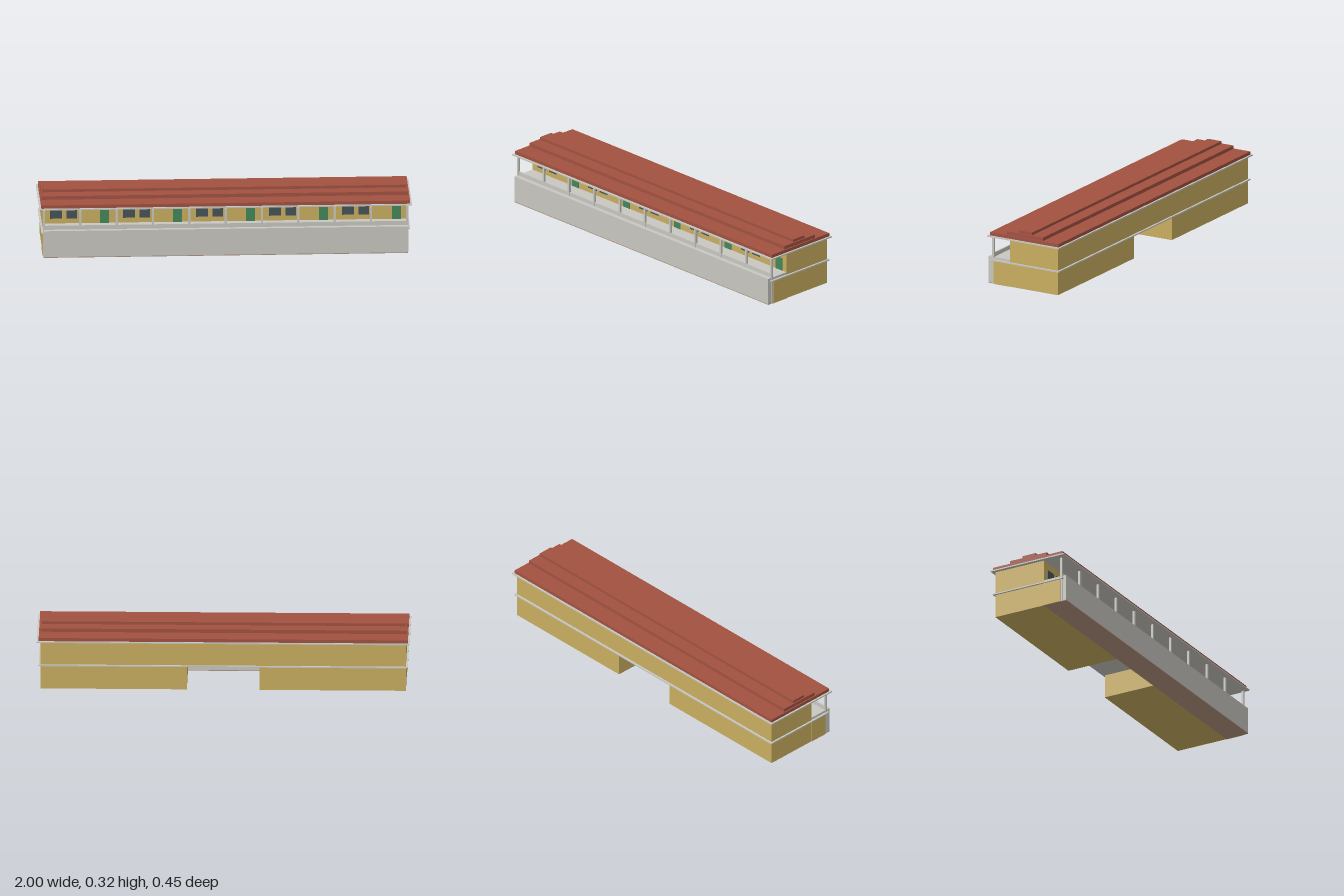
import * as THREE from 'three';

export function createModel() {
  const root = new THREE.Group();
  root.name = 'longVerandaBuilding';
  const mat = (name, color) => {
    const m = new THREE.MeshStandardMaterial({ color });
    m.name = name;
    return m;
  };
  const ochre = mat('ochre wall', 0xc9ae60);
  const grey = mat('pale concrete', 0xc8c7c1);
  const red = mat('red roof', 0xa15140);
  const green = mat('green door', 0x43875a);
  const glass = mat('dark window', 0x46535a);
  const brown = mat('brown footing', 0xb29380);

  // Box given by its limits on each axis
  const box = (name, material, x0, x1, y0, y1, z0, z1, parent = root) => {
    const mesh = new THREE.Mesh(new THREE.BoxGeometry(x1 - x0, y1 - y0, z1 - z0), material);
    mesh.position.set((x0 + x1) / 2, (y0 + y1) / 2, (z0 + z1) / 2);
    mesh.name = name;
    parent.add(mesh);
    return mesh;
  };

  const backZ = -0.207, wallZ = 0.093, half = 0.98;

  // Lower storey: two blocks with a passage between them
  box('lowerBlockRight', ochre, -half, -0.195, 0, 0.13, backZ, wallZ);
  box('lowerBlockLeft', ochre, 0.195, half, 0, 0.13, backZ, wallZ);

  // Front volume below the veranda, with its footing and side cheeks
  box('frontWall', grey, -0.978, 0.978, 0.004, 0.137, wallZ, 0.229);
  box('frontFooting', brown, -0.978, 0.978, 0, 0.004, wallZ, 0.229);
  for (const s of [-1, 1]) {
    box('sideCheek', ochre, s * 0.98 - 0.003, s * 0.98 + 0.003, 0, 0.13, wallZ, 0.195);
  }

  // Floor band and veranda floor
  box('floorBand', grey, -0.99, 0.99, 0.13, 0.137, -0.218, 0.214);
  box('verandaFloor', grey, -0.978, 0.978, 0.137, 0.15, wallZ, 0.229);

  // Upper storey
  box('upperStorey', ochre, -half, half, 0.137, 0.265, backZ, wallZ);

  // Columns and low railing panels along the veranda
  const bays = 10, step = 0.195;
  const veranda = new THREE.Group();
  veranda.name = 'veranda';
  root.add(veranda);
  for (let i = 0; i <= bays; i++) {
    const x = -0.975 + i * step;
    const end = i === 0 || i === bays;
    box('column', grey, x - 0.006, x + 0.006, end ? 0 : 0.15, 0.257, 0.194, 0.206, veranda);
    if (i < bays) box('railingPanel', grey, x + 0.006, x + step - 0.006, 0.15, 0.173, 0.196, 0.204, veranda);
  }

  // Windows in one bay, a door in the next, five times over
  const openings = new THREE.Group();
  openings.name = 'openings';
  root.add(openings);
  for (let i = 0; i < 5; i++) {
    const x = -0.939 + i * 0.392;
    box('window', glass, x, x + 0.064, 0.177, 0.225, wallZ, 0.095, openings);
    box('window', glass, x + 0.088, x + 0.146, 0.177, 0.225, wallZ, 0.095, openings);
    box('door', green, x + 0.268, x + 0.318, 0.15, 0.222, wallZ, 0.095, openings);
  }

  // Eaves slab and three stepped roof tiers
  box('eavesSlab', grey, -1, 1, 0.265, 0.272, -0.226, 0.225);
  const tiers = [
    [0.99, 0.272, 0.29, -0.216, 0.213],
    [0.983, 0.29, 0.309, -0.115, 0.112],
    [0.976, 0.309, 0.324, -0.043, 0.04],
  ];
  for (const [w, y0, y1, z0, z1] of tiers) box('roofTier', red, -w, w, y0, y1, z0, z1);

  return root;
}
